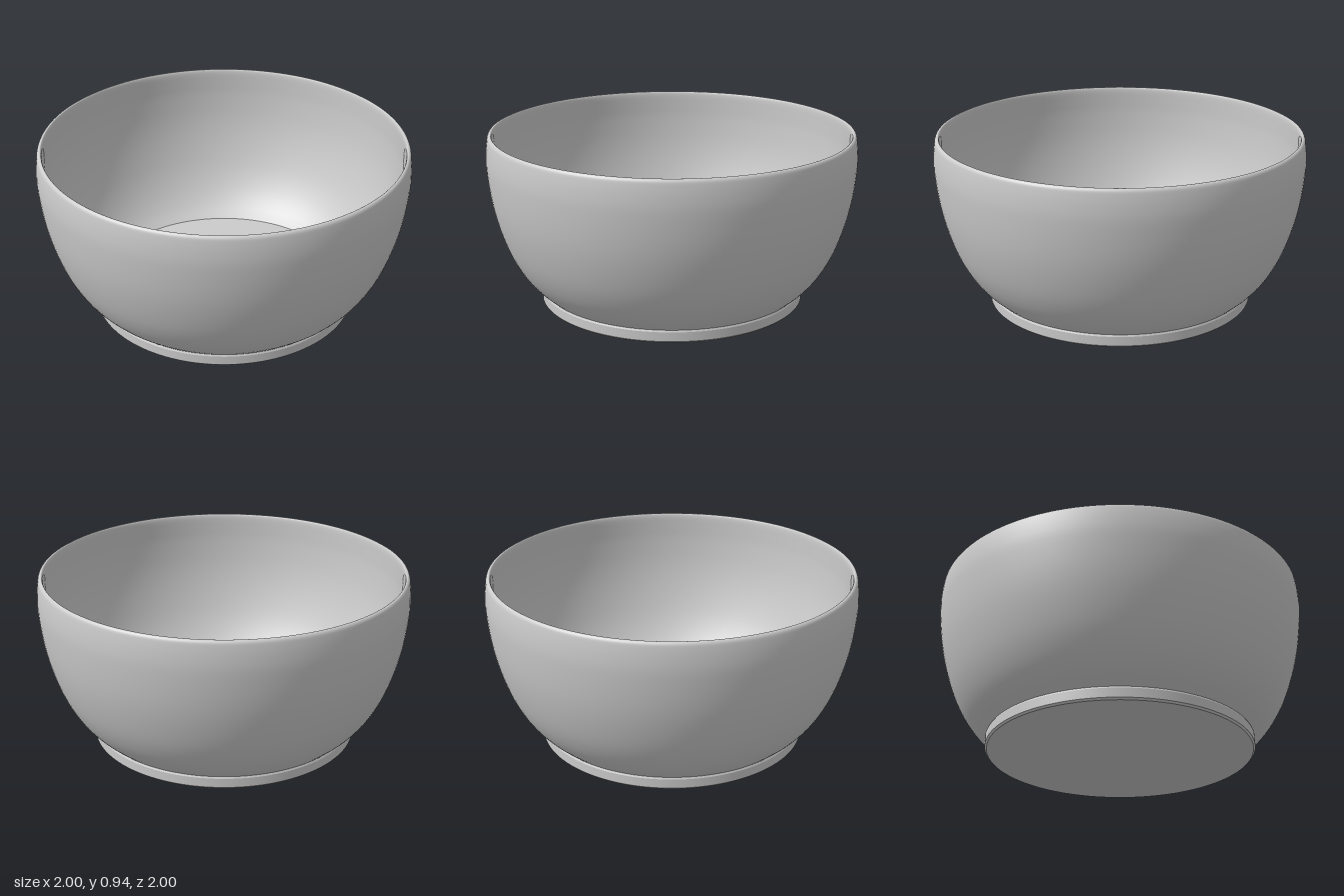
import * as THREE from 'three';

const SEGMENTS = 128;

// Smooth curve through a few [radius, height] points
function smooth(points, count) {
  return new THREE.SplineCurve(points.map(p => new THREE.Vector2(...p))).getPoints(count);
}

export function createModel() {
  const group = new THREE.Group();
  group.name = 'bowl';
  const material = new THREE.MeshStandardMaterial({ color: 0xcccccc });

  function addLathe(name, profile) {
    const mesh = new THREE.Mesh(new THREE.LatheGeometry(profile, SEGMENTS), material);
    mesh.name = name;
    group.add(mesh);
  }
  const line = points => points.map(p => new THREE.Vector2(...p));

  // Curved wall: up the outside, over the rounded rim, down the inside
  addLathe('wall', smooth([
    [0.715, 0.07], [0.775, 0.125], [0.835, 0.2], [0.888, 0.295], [0.929, 0.4], [0.963, 0.52],
    [0.985, 0.64], [0.998, 0.77], [0.997, 0.85], [0.99, 0.91], [0.984, 0.93], [0.974, 0.938],
    [0.966, 0.934], [0.962, 0.91], [0.962, 0.85], [0.961, 0.77], [0.95, 0.64], [0.928, 0.52],
    [0.894, 0.4], [0.853, 0.295], [0.8, 0.2], [0.74, 0.125], [0.68, 0.075],
  ], 88));

  // Flat inner floor
  addLathe('floor', line([[0.68, 0.075], [0, 0.075]]));

  // Low foot ring, with a small chamfer at the bottom
  addLathe('footSide', line([[0.72, 0.01], [0.72, 0.06]]));
  addLathe('footShoulder', line([[0.72, 0.06], [0.715, 0.07]]));
  addLathe('footChamfer', line([[0.71, 0], [0.72, 0.01]]));

  // Flat underside
  addLathe('underside', line([[0, 0], [0.71, 0]]));

  return group;
}
